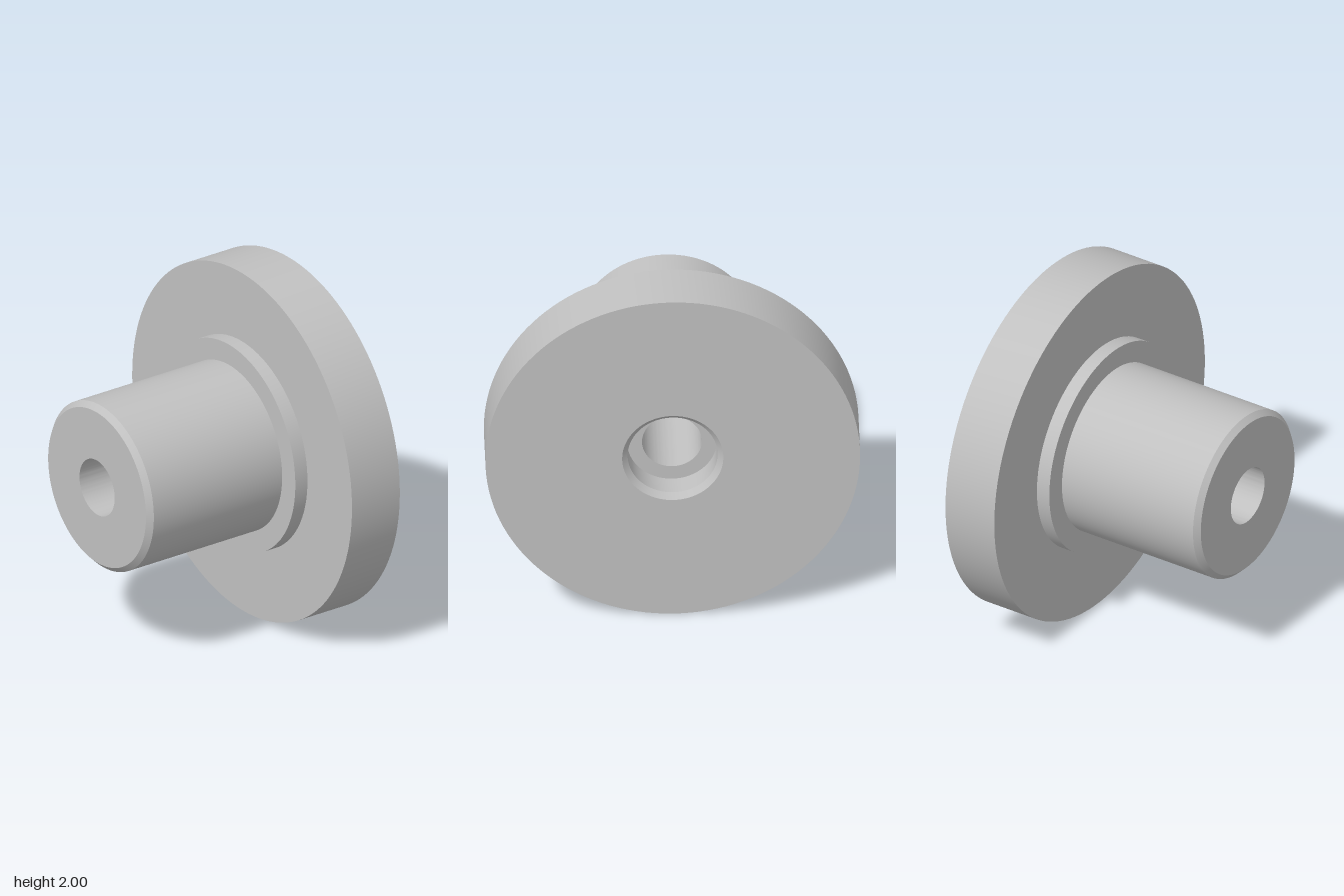
import * as THREE from 'three';
import { toCreasedNormals } from 'three/addons/utils/BufferGeometryUtils.js';

const BACK = -0.635, FRONT = 0.635;   // ends along z
const FLANGE_Z = -0.32, COLLAR_Z = -0.24;
const FLANGE_R = 1, COLLAR_R = 0.595, SHAFT_R = 0.475;
const BORE_R = 0.16, RECESS_R = 0.24, RECESS_Z = BACK + 0.16;
const CHAMFER = 0.03;

export function createModel() {
  const group = new THREE.Group();
  group.name = 'flangedBush';
  const steel = new THREE.MeshStandardMaterial({ color: 0xc0c0c0 });
  steel.name = 'plain steel';

  // Turn a [radius, z] profile about the z axis, keeping its corners sharp
  function turn(name, profile) {
    const points = profile.map(([r, z]) => new THREE.Vector2(r, z));
    const geometry = new THREE.LatheGeometry(points, 128).rotateX(Math.PI / 2);
    const mesh = new THREE.Mesh(toCreasedNormals(geometry, 0.5), steel);
    mesh.name = name;
    mesh.position.y = FLANGE_R;
    group.add(mesh);
  }

  // Wide disc at the back
  turn('flange', [
    [RECESS_R + CHAMFER, BACK], [FLANGE_R, BACK],
    [FLANGE_R, FLANGE_Z], [COLLAR_R, FLANGE_Z],
  ]);
  // Low step between disc and shaft
  turn('collar', [[COLLAR_R, FLANGE_Z], [COLLAR_R, COLLAR_Z], [SHAFT_R, COLLAR_Z]]);
  // Shaft with chamfered front rim
  turn('shaft', [
    [SHAFT_R, COLLAR_Z], [SHAFT_R, FRONT - CHAMFER],
    [SHAFT_R - CHAMFER, FRONT], [BORE_R, FRONT],
  ]);
  // Through hole, facing inwards
  turn('bore', [[BORE_R, FRONT], [BORE_R, RECESS_Z]]);
  // Chamfered counterbore in the back face
  turn('counterbore', [
    [BORE_R, RECESS_Z], [RECESS_R, RECESS_Z],
    [RECESS_R, BACK + CHAMFER], [RECESS_R + CHAMFER, BACK],
  ]);
  return group;
}
